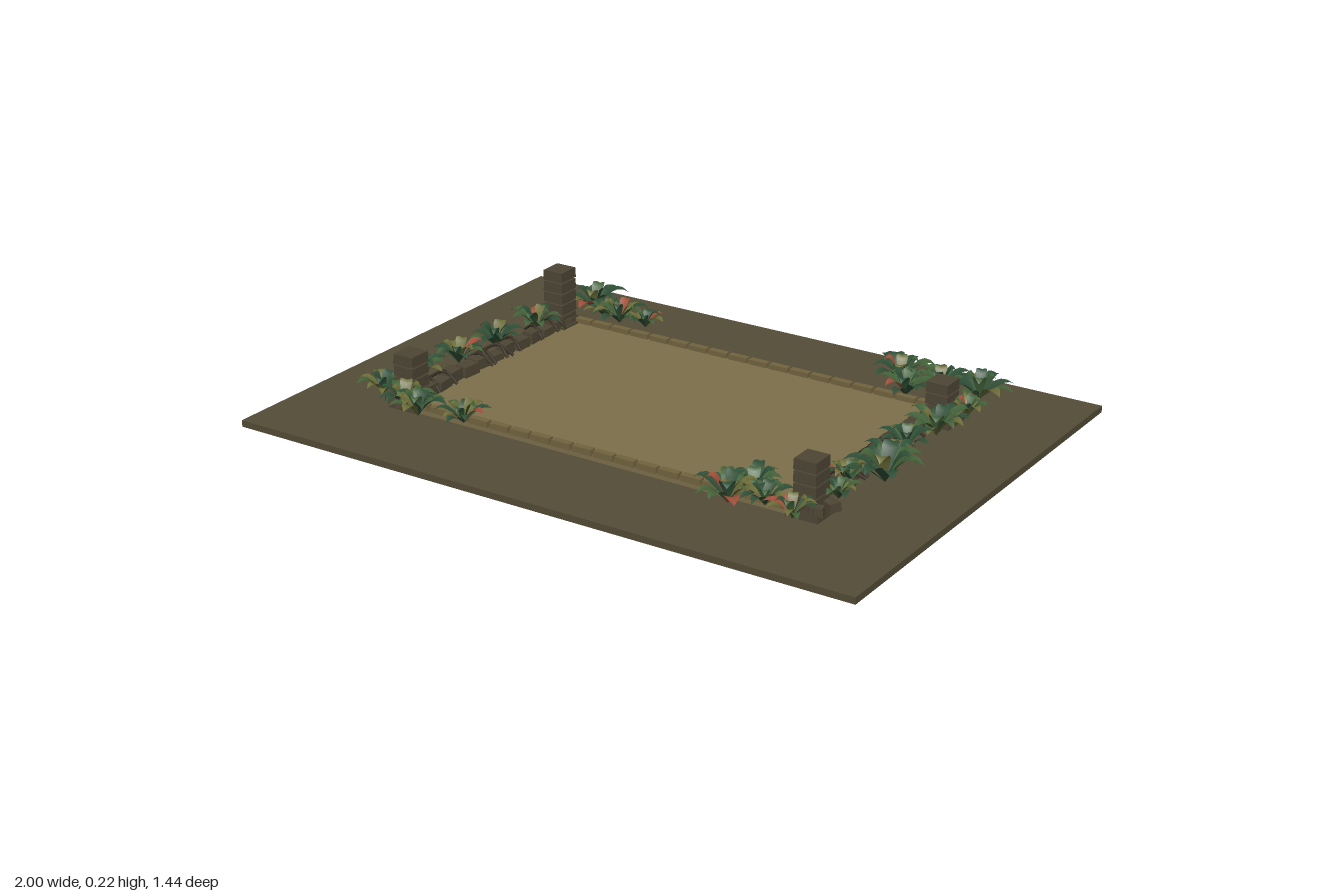
import * as THREE from 'three';
import { mergeGeometries } from 'three/addons/utils/BufferGeometryUtils.js';

const material = (name, color, side = THREE.FrontSide) => {
  const m = new THREE.MeshStandardMaterial({ color, side });
  m.name = name;
  return m;
};

// small seeded generator for natural variation
let seed = 11;
const rnd = (a = 0, b = 1) => {
  seed = (seed * 16807) % 2147483647;
  return a + (b - a) * (seed / 2147483647);
};

// block placed by its centre, with optional turn and narrowing towards the top
function block(w, h, d, x, y, z, turn = 0, taper = 1) {
  const g = new THREE.BoxGeometry(w, h, d);
  const p = g.attributes.position;
  for (let i = 0; i < p.count; i++) {
    if (p.getY(i) > 0) p.setXYZ(i, p.getX(i) * taper, p.getY(i), p.getZ(i) * taper);
  }
  g.computeVertexNormals();
  return g.rotateY(turn).translate(x, y, z);
}

// pointed, folded leaf that rises and then arches over along +x
function leaf(length, halfWidth, rise) {
  const g = new THREE.PlaneGeometry(1, 2, 6, 2);
  const p = g.attributes.position;
  for (let i = 0; i < p.count; i++) {
    const t = p.getX(i) + 0.5;
    const s = p.getY(i);
    const w = halfWidth * (0.06 + Math.sin(Math.PI * Math.pow(t, 1.15))) * (t > 0.99 ? 0 : 1);
    const y = rise * Math.sin(Math.PI * 0.68 * t) + Math.abs(s) * w * 0.3;
    p.setXYZ(i, length * t, y, -s * w);
  }
  g.computeVertexNormals();
  return g;
}

export function createModel() {
  const model = new THREE.Group();
  const soil = material('dark earth', 0x544c37);
  const sand = material('sand', 0x7d6f4b);
  const curbStone = material('curb stone', 0x71633f);
  const stone = material('weathered stone', 0x4d4534);
  const bark = material('root bark', 0x3b3325);
  const leafColors = [
    material('deep green leaf', 0x2f4f36, THREE.DoubleSide),
    material('green leaf', 0x43623a, THREE.DoubleSide),
    material('olive leaf', 0x6c6d38, THREE.DoubleSide),
    material('red leaf', 0xa0503a, THREE.DoubleSide),
  ];

  const add = (name, parts, mat, parent = model) => {
    const mesh = new THREE.Mesh(parts.length > 1 ? mergeGeometries(parts) : parts[0], mat);
    mesh.name = name;
    parent.add(mesh);
    return mesh;
  };

  // ground slab and raised court floor
  add('groundSlab', [block(2, 0.02, 1.44, 0, 0.01, 0)], soil);
  add('courtFloor', [block(1.3, 0.02, 0.81, 0, 0.03, 0)], sand);

  // low curbs along the long edges
  for (const side of [-1, 1]) {
    const stones = [];
    for (let i = 0; i < 18; i++) {
      stones.push(block(0.064, 0.018, 0.022, (i - 8.5) * 0.071, 0.046, side * 0.403, 0, 0.97));
    }
    add(side > 0 ? 'frontCurb' : 'backCurb', stones, curbStone);
  }

  // ruined walls and protruding roots along the short edges
  for (const side of [-1, 1]) {
    const stones = [];
    const roots = [];
    for (let i = 0; i < 13; i++) {
      const z = (i - 6) * 0.064;
      const h = rnd(0.025, 0.042);
      stones.push(block(rnd(0.036, 0.05), h, rnd(0.052, 0.062), side * rnd(0.645, 0.66),
        0.035 + h / 2, z, rnd(-0.12, 0.12), 0.92));
    }
    for (let i = 0; i < 12; i++) {
      const z = rnd(-0.36, 0.36);
      const bend = rnd(-0.05, 0.05);
      const path = new THREE.CatmullRomCurve3([
        new THREE.Vector3(side * 0.61, 0.048, z),
        new THREE.Vector3(side * 0.655, 0.08, z + bend * 0.4),
        new THREE.Vector3(side * 0.71, 0.05, z + bend),
      ]);
      roots.push(new THREE.TubeGeometry(path, 6, 0.005, 5));
    }
    const label = side > 0 ? 'left' : 'right';
    add(label + 'Wall', stones, stone);
    add(label + 'Roots', roots, bark);
  }

  // corner pillars of stacked blocks with open joints: x side, z side, block count
  for (const [sx, sz, count] of [[-1, -1, 5], [-1, 1, 4], [1, 1, 4], [1, -1, 3]]) {
    const pillar = new THREE.Group();
    pillar.name = 'cornerPillar';
    pillar.position.set(sx * 0.665, 0, sz * 0.365);
    const blocks = [block(0.1, 0.026, 0.1, 0, 0.033, 0, 0, 0.95)];
    for (let i = 0; i < count; i++) {
      blocks.push(block(0.07, 0.031, 0.074, 0, 0.061 + i * 0.0355, 0, 0, 0.97));
    }
    add('pillarBlocks', blocks, stone, pillar);
    // fallen rubble around the foot
    const rubble = [];
    for (let i = 0; i < 4; i++) {
      rubble.push(block(rnd(0.03, 0.06), 0.025, rnd(0.025, 0.04),
        sx * rnd(-0.02, 0.06), 0.05, sz * rnd(-0.06, 0.06), rnd(0, 3), 0.9));
    }
    add('rubble', rubble, stone, pillar);
    model.add(pillar);
  }

  // plant clumps: x, z, radius
  const clumps = [
    [-0.63, -0.50, 0.1], [-0.50, -0.45, 0.09], [-0.41, -0.46, 0.07], [-0.56, -0.46, 0.07],
    [0.46, -0.50, 0.1], [0.59, -0.50, 0.09], [0.71, -0.51, 0.1], [0.52, -0.42, 0.09], [0.74, -0.38, 0.07],
    [0.73, -0.21, 0.1], [0.70, -0.09, 0.08], [0.73, 0.05, 0.09], [0.76, 0.14, 0.12],
    [0.68, 0.20, 0.08], [0.71, 0.30, 0.07], [0.72, -0.30, 0.06],
    [-0.68, -0.26, 0.09], [-0.70, -0.08, 0.09], [-0.71, 0.09, 0.09], [-0.73, 0.25, 0.09],
    [-0.74, 0.40, 0.08], [-0.63, 0.44, 0.09], [-0.56, 0.47, 0.09], [-0.42, 0.44, 0.08],
    [0.51, 0.40, 0.09], [0.48, 0.48, 0.1], [0.57, 0.44, 0.08], [0.67, 0.47, 0.08],
  ];
  clumps.forEach(([x, z, r], n) => {
    const clump = new THREE.Group();
    clump.name = 'plantClump';
    clump.position.set(x, 0.048, z);
    const byColor = leafColors.map(() => []);
    const count = 13;
    for (let i = 0; i < count; i++) {
      const inner = i >= 9;
      const length = r * (inner ? rnd(0.45, 0.65) : rnd(0.8, 1.1));
      const g = leaf(length, r * rnd(0.15, 0.21), r * (inner ? rnd(0.65, 0.8) : rnd(0.45, 0.7)));
      g.rotateY((inner ? i * 1.6 : i * Math.PI * 2 / 9) + rnd(-0.25, 0.25));
      const pick = rnd();
      const red = n % 3 === 1 ? 0.88 : 0.97;
      byColor[pick > red ? 3 : pick > 0.7 ? 2 : pick > 0.4 ? 1 : 0].push(g);
    }
    byColor.forEach((parts, c) => {
      if (parts.length) add('leaves', parts, leafColors[c], clump);
    });
    model.add(clump);
  });

  return model;
}
